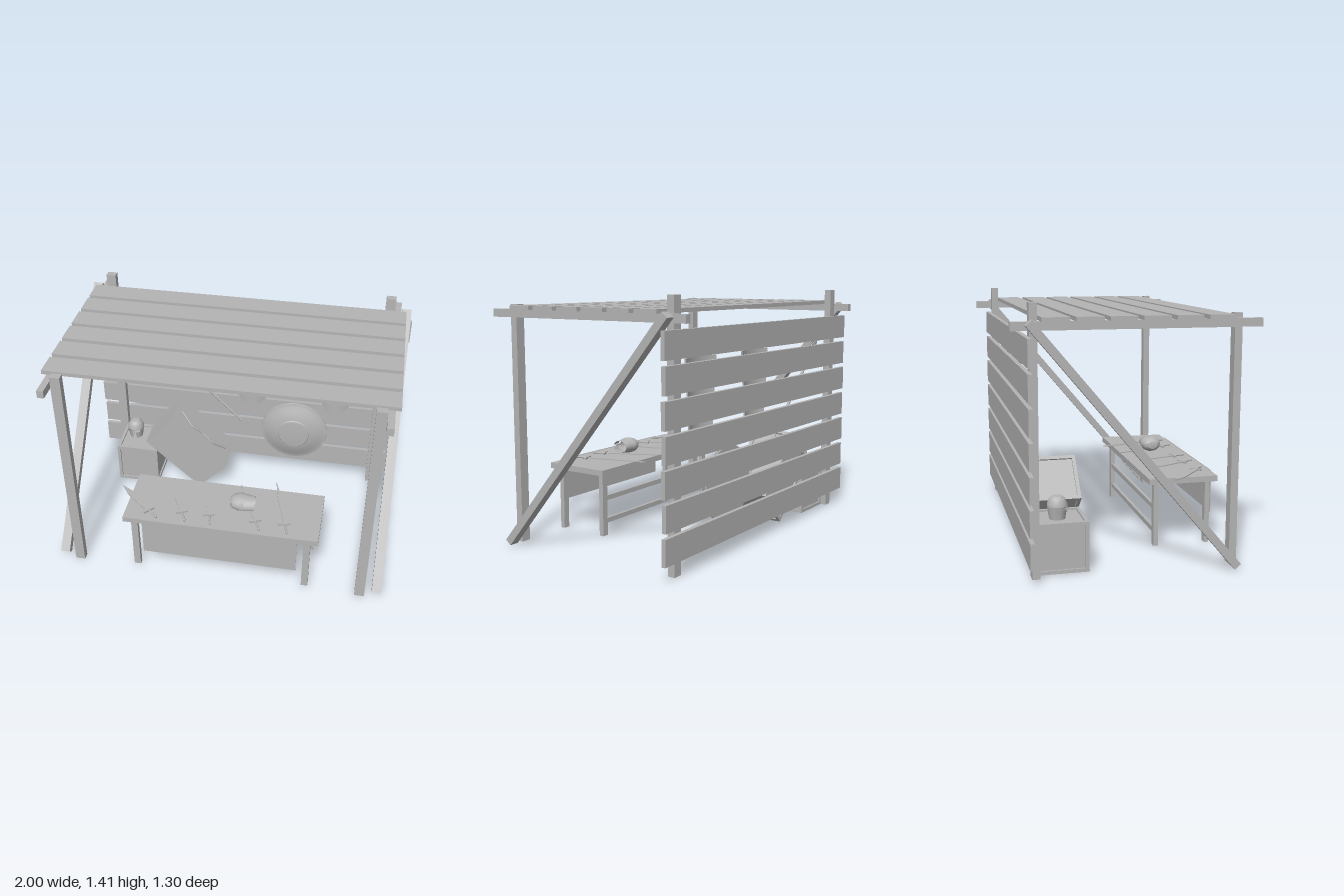
import * as THREE from 'three';
import { toCreasedNormals } from 'three/addons/utils/BufferGeometryUtils.js';

const grey = new THREE.MeshStandardMaterial({ color: 0xb4b4b4, side: THREE.DoubleSide });
grey.name = 'plainGrey';

function add(parent, name, geometry) {
  const mesh = new THREE.Mesh(geometry, grey);
  mesh.name = name;
  parent.add(mesh);
  return mesh;
}

// Box given by its minimum and maximum on each axis
function slab(parent, name, x0, x1, y0, y1, z0, z1) {
  const m = add(parent, name, new THREE.BoxGeometry(x1 - x0, y1 - y0, z1 - z0));
  m.position.set((x0 + x1) / 2, (y0 + y1) / 2, (z0 + z1) / 2);
  return m;
}

function subgroup(parent, name, x = 0, y = 0, z = 0) {
  const g = new THREE.Group();
  g.name = name;
  g.position.set(x, y, z);
  parent.add(g);
  return g;
}

const lathe = (pts, n = 24, start = 0, len = Math.PI * 2) => toCreasedNormals(
  new THREE.LatheGeometry(pts.map(p => new THREE.Vector2(...p)), n, start, len), 0.5);

// Flat outline extruded to a thin, centred plate
function plate(pts, depth) {
  const shape = new THREE.Shape(pts.map(p => new THREE.Vector2(...p)));
  return new THREE.ExtrudeGeometry(shape, { depth, bevelEnabled: false }).translate(0, 0, -depth / 2);
}

// Crate: twelve edge bars around inset panels
function crate(parent, name, w, h, d) {
  const g = subgroup(parent, name), t = 0.02, size = [w, h, d];
  add(g, 'cratePanels', new THREE.BoxGeometry(w - t, h - t, d - t));
  for (let axis = 0; axis < 3; axis++) {
    const b = (axis + 1) % 3, c = (axis + 2) % 3;
    for (const i of [-1, 1]) for (const j of [-1, 1]) {
      const s = [t, t, t], p = [0, 0, 0];
      s[axis] = size[axis];
      p[b] = i * (size[b] - t) / 2;
      p[c] = j * (size[c] - t) / 2;
      add(g, 'crateBar', new THREE.BoxGeometry(...s)).position.set(...p);
    }
  }
  return g;
}

// Open-faced helmet standing on its rim, facing +z
function helmet(parent) {
  const g = subgroup(parent, 'helmet');
  add(g, 'helmetDome', lathe([[0.054, 0.07], [0.052, 0.085], [0.043, 0.107], [0.027, 0.121], [0, 0.126]]));
  add(g, 'helmetCheeks', lathe([[0.043, 0], [0.046, 0.02], [0.051, 0.05]], 20, 0.22, Math.PI * 2 - 0.44));
  add(g, 'helmetTemples', lathe([[0.051, 0.05], [0.054, 0.07]], 16, 0.8, Math.PI * 2 - 1.6));
  add(g, 'noseGuard', plate([[-0.006, 0.075], [0.006, 0.075], [0.004, 0.03], [-0.004, 0.03]], 0.005)).position.z = 0.052;
  return g;
}

// Sword lying on the table from its pommel to its tip
function sword(parent, x0, z0, x1, z1, width) {
  const g = subgroup(parent, 'sword', x0, 0.409, z0);
  const len = Math.hypot(x1 - x0, z1 - z0);
  g.rotation.y = Math.atan2(x1 - x0, z1 - z0);
  const w = width / 2;
  const blade = plate([[-w * 0.8, 0.08], [-w, len * 0.75], [0, len], [w, len * 0.75], [w * 0.8, 0.08]], 0.006);
  add(g, 'swordBlade', blade.rotateX(Math.PI / 2));
  add(g, 'swordGuard', new THREE.BoxGeometry(0.07, 0.012, 0.012)).position.z = 0.08;
  add(g, 'swordGrip', new THREE.CylinderGeometry(0.006, 0.006, 0.07, 8).rotateX(Math.PI / 2)).position.z = 0.045;
  add(g, 'swordPommel', new THREE.SphereGeometry(0.009, 8, 6)).position.z = 0.008;
}

// Tapered shield with a bulged face and a pointed lower edge
function tallShield(parent, x) {
  const geo = new THREE.BoxGeometry(2, 1, 1, 16, 6, 1), p = geo.attributes.position;
  for (let i = 0; i < p.count; i++) {
    const u = p.getX(i), v = p.getY(i) + 0.5, layer = p.getZ(i);
    const bottom = 0.567 + 0.06 * Math.abs(u) ** 2;
    const y = bottom + (1.088 - bottom) * v;
    const half = 0.094 + 0.046 * (y - 0.567) / 0.521;
    p.setXYZ(i, u * half, y, -0.505 + 0.034 * (1 - u * u) + layer * 0.01);
  }
  add(parent, 'tallShield', toCreasedNormals(geo, 0.6)).position.x = x;
}

export function createModel() {
  const model = new THREE.Group();
  model.name = 'armouryStall';

  // Timber frame on both sides
  const frame = subgroup(model, 'frame');
  for (const s of [-1, 1]) {
    const side = subgroup(frame, s < 0 ? 'rightFrame' : 'leftFrame');
    const bar = (name, a, b, ...rest) => slab(side, name, Math.min(s * a, s * b), Math.max(s * a, s * b), ...rest);
    bar('frontPost', 0.832, 0.89, 0, 1.345, 0.511, 0.552);
    bar('backPost', 0.832, 0.89, 0, 1.41, -0.552, -0.511);
    bar('roofBeam', 0.89, 0.928, 1.276, 1.32, -0.649, 0.649);
    const dy = 1.3, dz = -1.09;
    const brace = add(side, 'brace', new THREE.BoxGeometry(0.056, Math.hypot(dy, dz), 0.043));
    brace.position.set(s * 0.96, 0.668, -0.02);
    brace.rotation.x = Math.atan2(dz, dy);
  }

  // Roof and back wall planks
  for (let i = 0; i < 6; i++) {
    const z = 0.421 - i * 0.17;
    slab(model, 'roofPlank', -0.957, 0.957, 1.32, 1.342, z - 0.07, z + 0.07);
  }
  for (let i = 0; i < 7; i++) {
    const y = 1.173 - i * 0.1693, w = i % 2 ? 0.995 : 1;
    slab(model, 'wallPlank', -w, w, y - 0.071, y + 0.071, -0.576, -0.552);
  }

  // Table with front board and rear stretchers
  const table = subgroup(model, 'table');
  slab(table, 'tableTop', -0.56, 0.595, 0.37, 0.403, 0.16, 0.56);
  slab(table, 'frontBoard', -0.443, 0.475, 0.155, 0.405, 0.56, 0.565);
  for (const x of [-0.5, 0.53]) for (const z of [0.212, 0.515])
    slab(table, 'tableLeg', x - 0.02, x + 0.02, 0, 0.37, z - 0.014, z + 0.014);
  for (const y of [0.085, 0.22])
    slab(table, 'tableStretcher', -0.48, 0.51, y - 0.014, y + 0.014, 0.203, 0.221);

  // Swords spread over the table
  sword(table, -0.36, 0.53, -0.63, 0.29, 0.04);
  sword(table, -0.19, 0.53, -0.32, 0.25, 0.03);
  sword(table, -0.04, 0.53, -0.12, 0.22, 0.03);
  sword(table, 0.25, 0.53, 0.08, 0.15, 0.02);
  sword(table, 0.41, 0.53, 0.29, 0.09, 0.02);

  // Helmet lying on the table
  const lying = helmet(model);
  lying.position.set(0.195, 0.454, 0.357);
  lying.rotation.set(0, 0, Math.PI / 2);
  lying.scale.set(0.87, 1.18, 1.15);

  // Upright crate with helmet, and a leaning crate carrying a bow
  crate(model, 'uprightCrate', 0.275, 0.273, 0.275).position.set(-0.698, 0.1365, -0.378);
  helmet(model).position.set(-0.742, 0.274, -0.395);
  const leaning = crate(model, 'leaningCrate', 0.486, 0.27, 0.275);
  leaning.position.set(-0.36, 0.275, -0.378);
  leaning.rotation.z = -0.746;
  const bowPath = new THREE.CatmullRomCurve3([
    [-0.2, -0.03], [-0.17, -0.015], [-0.09, 0.022], [-0.03, 0.015], [0, 0.01],
    [0.03, 0.015], [0.09, 0.022], [0.17, -0.015], [0.2, -0.03],
  ].map(([x, z]) => new THREE.Vector3(x, 0.135, 0.012 + z)));
  add(leaning, 'bow', new THREE.TubeGeometry(bowPath, 40, 0.006, 6));

  // Round shield against the wall
  const round = add(model, 'roundShield', lathe([[0, 0.058], [0.1, 0.05], [0.105, 0.044], [0.165, 0.032],
    [0.195, 0.012], [0.218, 0.008], [0.22, 0], [0, 0]], 40));
  round.position.set(0.325, 0.365, -0.515);
  round.rotation.x = Math.PI / 2;

  tallShield(model, 0.04);
  tallShield(model, 0.587);

  // Spear leaning on the wall, built pointing up and then turned
  const spear = subgroup(model, 'spear', -0.035, 0.405, -0.512);
  spear.rotation.z = Math.PI / 4;
  add(spear, 'spearShaft', new THREE.CylinderGeometry(0.009, 0.009, 0.78, 10)).position.y = 0.39;
  const half = [[0.01, 0.74], [0.016, 0.77], [0.04, 0.80], [0.028, 0.81], [0.046, 0.86], [0.034, 0.865], [0.034, 0.91]];
  add(spear, 'spearHead', plate([...half, [0, 0.992], ...half.map(([x, y]) => [-x, y]).reverse()], 0.008));
  return model;
}
